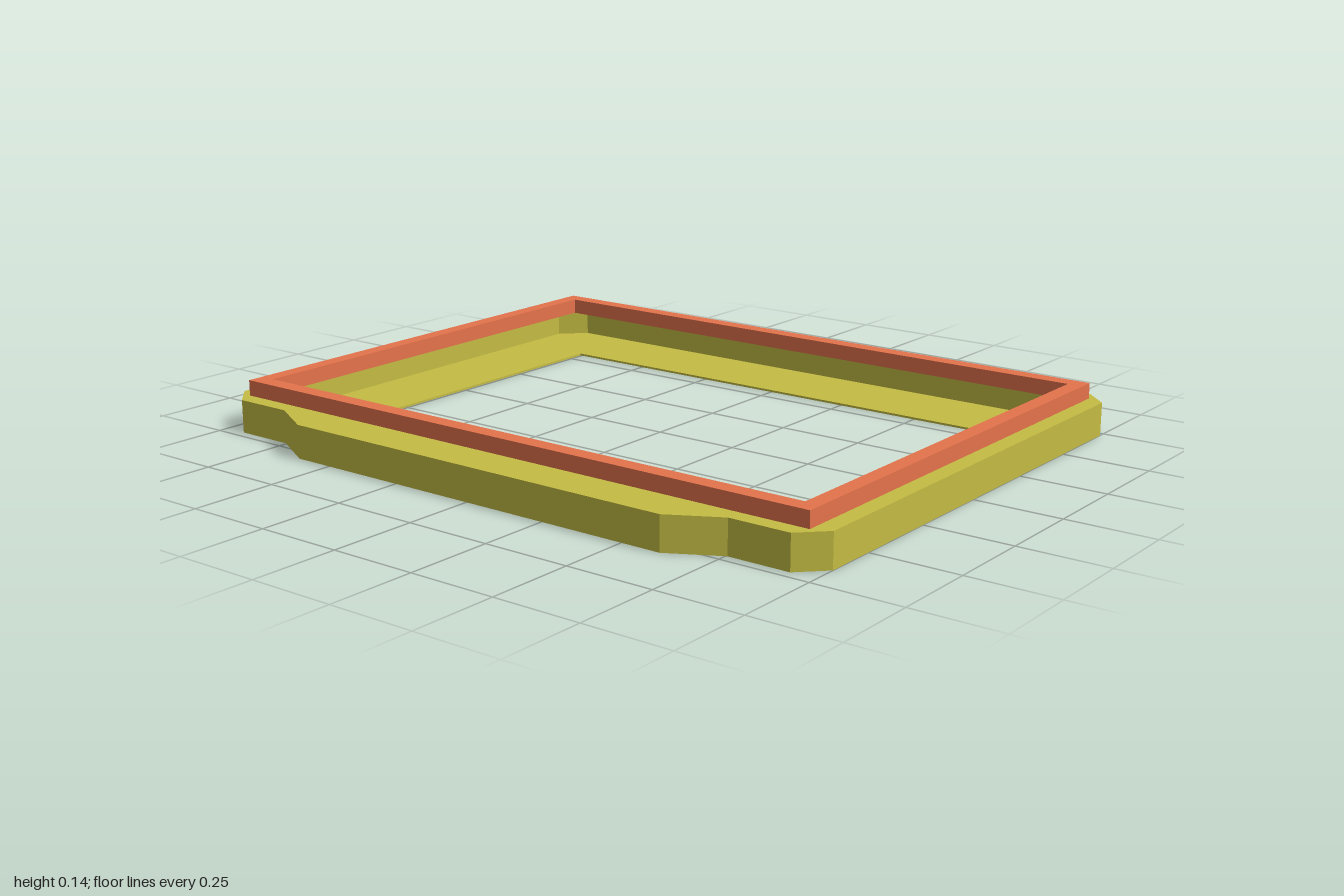
import * as THREE from 'three';

const olive = new THREE.MeshStandardMaterial({ color: 0xc4bc43 });
olive.name = 'olive';
const coral = new THREE.MeshStandardMaterial({ color: 0xe4734c });
coral.name = 'coral';

// Half outline as [x, z] from back to front, mirrored across x = 0, counter-clockwise
function mirrored(half) {
  const left = half.map(([x, z]) => [-x, z]).reverse();
  return [...half, ...left].reverse().map(([x, z]) => new THREE.Vector2(x, -z));
}

// Flat ring lying on the ground plane between heights y0 and y1
function ring(name, outer, inner, y0, y1, material) {
  const shape = new THREE.Shape(mirrored(outer));
  shape.holes.push(new THREE.Path(mirrored(inner)));
  const geometry = new THREE.ExtrudeGeometry(shape, { depth: y1 - y0, bevelEnabled: false });
  geometry.rotateX(-Math.PI / 2);
  geometry.translate(0, y0, 0);
  const mesh = new THREE.Mesh(geometry, material);
  mesh.name = name;
  return mesh;
}

const rect = (x, back, front) => [[x, back], [x, front]];
const inset = (half, t) => half.map(([x, z]) => [x - t, z - Math.sign(z) * t]);

export function createModel() {
  const group = new THREE.Group();
  group.name = 'bezelFrame';

  // Outer outline with clipped corners and a front tab
  const outline = [
    [0.93, -0.799], [1, -0.73], [1, 0.652], [0.93, 0.722], [0.755, 0.722], [0.615, 0.799],
  ];
  const height = 0.095;
  const sheet = 0.006;

  // Hollow tray: thin floor with a window, thin side wall and thin top rim
  group.add(ring('floorPlate', outline, rect(0.755, -0.553, 0.475), 0, sheet, olive));
  group.add(ring('sideWall', outline, inset(outline, sheet), sheet, height - sheet, olive));
  group.add(ring('topRim', outline, rect(0.945, -0.745, 0.668), height - sheet, height, olive));

  // Raised gasket running around the opening of the rim
  group.add(ring('gasket', rect(0.95, -0.75, 0.675), rect(0.905, -0.704, 0.627), height, 0.14, coral));
  return group;
}
